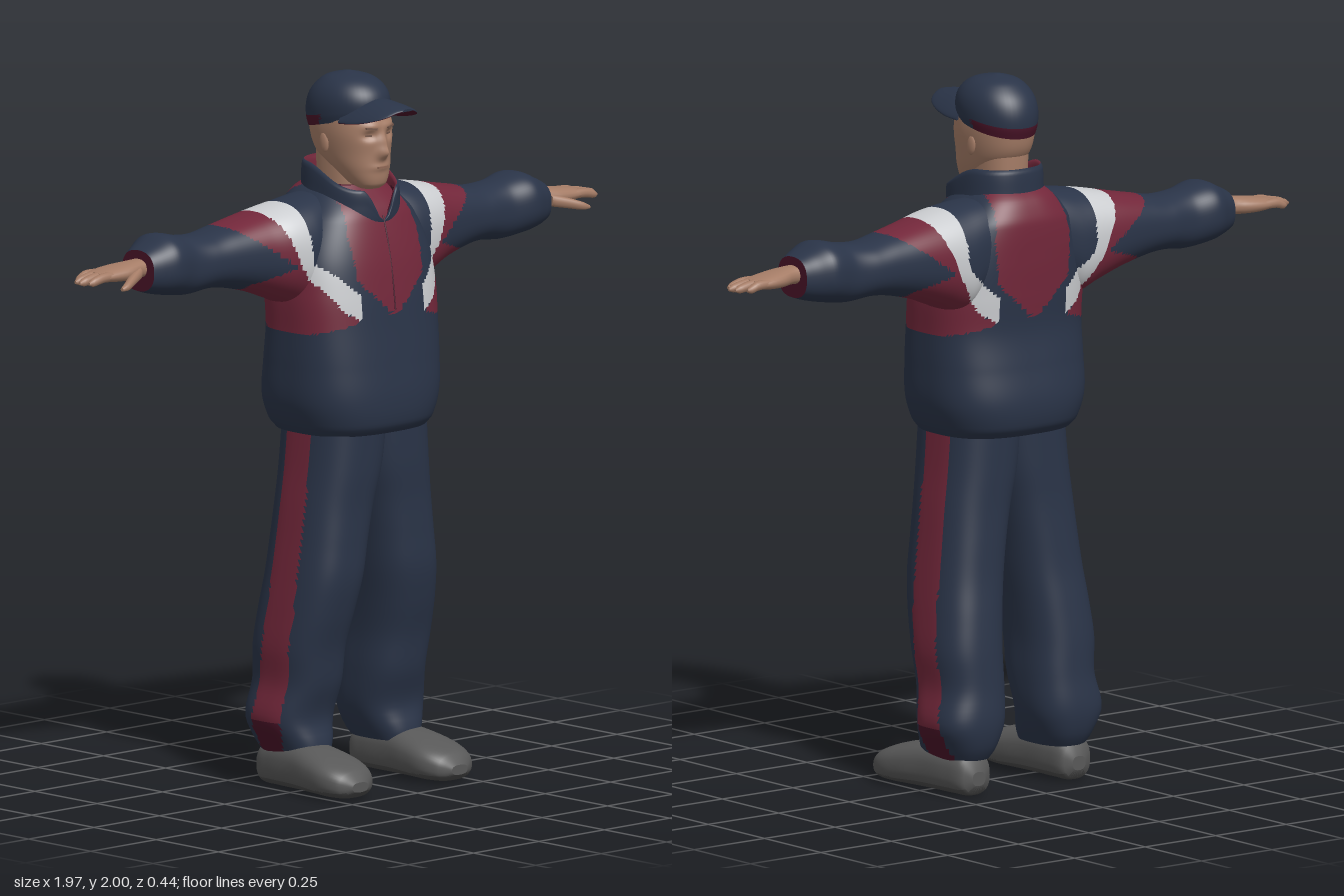
import * as THREE from 'three';

const mat = (name, color) => Object.assign(new THREE.MeshStandardMaterial({ color }), { name });
const MATS = [
  mat('navy cloth', 0x2a3448), mat('maroon cloth', 0x72273a), mat('white cloth', 0xcbcdd0),
  mat('skin', 0xa67d67), mat('shoe grey', 0x585858), mat('sole grey', 0x4a4a4a),
  mat('brow brown', 0x74574a), mat('lip', 0x8f6755), mat('dark maroon lining', 0x4a1428),
];
const [NAVY, MAROON, WHITE, SKIN, SHOE, SOLE, BROW, LIP, LINING] = MATS.keys();

// Smooth interpolation of rows [t, u0, u1, v0, v1]
function sample(rows, t) {
  let i = 0;
  while (i < rows.length - 2 && t > rows[i + 1][0]) i++;
  const a = rows[i], b = rows[i + 1], h = b[0] - a[0], s = (t - a[0]) / h;
  const slope = (k, c) => {
    const p = rows[Math.max(k - 1, 0)], q = rows[Math.min(k + 1, rows.length - 1)];
    return (q[c] - p[c]) / (q[0] - p[0]);
  };
  return [1, 2, 3, 4].map((c) => {
    const s2 = s * s, s3 = s2 * s;
    return a[c] * (2 * s3 - 3 * s2 + 1) + b[c] * (3 * s2 - 2 * s3)
      + h * (slope(i, c) * (s3 - 2 * s2 + s) + slope(i + 1, c) * (s3 - s2));
  });
}

// Axis maps from section space (u, t, v)
const alongX = (u, t, v) => [t, v, u];
const alongY = (u, t, v) => [u, t, v];
const alongZ = (u, t, v) => [v, u, t];

// Skin closed superellipse rings; paint(x, y, z, t, angle) chooses a material for each face,
// and capPaint one for the two end faces
function loft(rows, { n = 32, steps = 24, map = alongY, power = 2.4, caps = true, paint = () => NAVY, capPaint = paint }) {
  const pos = [], lists = MATS.map(() => []), params = [];
  const t0 = rows[0][0], t1 = rows[rows.length - 1][0];
  const add = (u, t, v, ang) => { pos.push(...map(u, t, v)); params.push([t, ang]); return params.length - 1; };
  const pw = (c) => Math.sign(c) * Math.abs(c) ** (2 / power);
  const ring = (t) => {
    const [u0, u1, v0, v1] = sample(rows, t);
    for (let j = 0; j < n; j++) {
      const a = (j / n) * Math.PI * 2;
      add((u0 + u1) / 2 + pw(Math.cos(a)) * (u1 - u0) / 2, t, (v0 + v1) / 2 + pw(Math.sin(a)) * (v1 - v0) / 2, a);
    }
    return [(u0 + u1) / 2, (v0 + v1) / 2];
  };
  const face = (a, b, c, choose) => {
    const m = [0, 1, 2].map((k) => (pos[a * 3 + k] + pos[b * 3 + k] + pos[c * 3 + k]) / 3);
    lists[choose(...m, (params[a][0] + params[b][0] + params[c][0]) / 3, params[a][1])].push(a, b, c);
  };
  for (let i = 0; i <= steps; i++) ring(t0 + (t1 - t0) * i / steps);
  for (let i = 0; i < steps; i++) for (let j = 0; j < n; j++) {
    const a = i * n + j, c = i * n + (j + 1) % n;
    face(a, a + n, c, paint);
    face(a + n, c + n, c, paint);
  }
  if (caps) [t0, t1].forEach((t, top) => {
    const base = params.length, [u, v] = ring(t), mid = add(u, t, v, 0);
    for (let j = 0; j < n; j++) {
      const a = base + j, b = base + (j + 1) % n;
      top ? face(mid, b, a, capPaint) : face(mid, a, b, capPaint);
    }
  });
  const g = new THREE.BufferGeometry();
  g.setAttribute('position', new THREE.Float32BufferAttribute(pos, 3));
  g.setIndex(lists.flat());
  let start = 0;
  lists.forEach((l, k) => { if (l.length) g.addGroup(start, l.length, k); start += l.length; });
  g.computeVertexNormals();
  return g;
}

function mirrored(geo) {
  const g = geo.clone().scale(-1, 1, 1), ix = g.index.array;
  for (let i = 0; i < ix.length; i += 3) [ix[i + 1], ix[i + 2]] = [ix[i + 2], ix[i + 1]];
  g.computeVertexNormals();
  return g;
}

function inside(poly, x, y) {
  let hit = false;
  poly.forEach(([ax, ay], i) => {
    const [bx, by] = poly[(i + 1) % poly.length];
    if ((ay > y) !== (by > y) && x < (bx - ax) * (y - ay) / (by - ay) + ax) hit = !hit;
  });
  return hit;
}

// Jacket colour blocks, the same for front and back
const CHEST = [[-1e-3, 1.33], [0.122, 1.44], [0.132, 1.56], [0.1, 1.72], [-1e-3, 1.72]];
const BAND = [[0.35, 1.7], [0.235, 1.7], [0.225, 1.5], [0.115, 1.4], [0.115, 1.33], [0.17, 1.36], [0.255, 1.48]];
const SIDE = [[0.35, 1.7], [0.48, 1.7], [0.46, 1.62], [0.27, 1.49], [0.4, 1.45], [0.4, 1.3], [0.25, 1.295], [0.12, 1.33], [0.17, 1.36], [0.255, 1.48]];
const jacketPaint = (x, y) => {
  const a = Math.abs(x);
  if (inside(CHEST, a, y)) return MAROON;
  if (inside(BAND, a, y)) return WHITE;
  return inside(SIDE, a, y) ? MAROON : NAVY;
};

const bump = (x, y, cx, cy, rx, ry) => Math.exp(-(((x - cx) / rx) ** 2) - ((y - cy) / ry) ** 2);

export function createModel() {
  const model = new THREE.Group();
  const add = (name, geo, m = MATS) => {
    const mesh = new THREE.Mesh(geo, m);
    mesh.name = name;
    model.add(mesh);
  };
  const pair = (name, geo, m = MATS) => {
    add('left' + name, geo, m);
    add('right' + name, mirrored(geo), m);
  };
  const skin = () => SKIN, lining = () => LINING;

  // Jacket body
  const sym = (rows) => rows.map(([t, w, a, b]) => [t, -w, w, a, b]);
  add('jacketBody', loft(sym([
    [1.005, 0.205, -0.19, 0.155], [1.03, 0.222, -0.212, 0.174], [1.1, 0.245, -0.222, 0.182], [1.2, 0.25, -0.208, 0.175],
    [1.3, 0.25, -0.195, 0.165], [1.4, 0.25, -0.2, 0.155], [1.5, 0.235, -0.205, 0.14], [1.6, 0.19, -0.205, 0.113],
    [1.635, 0.16, -0.195, 0.095], [1.67, 0.125, -0.175, 0.06], [1.69, 0.1, -0.15, 0.04]]),
  { n: 120, steps: 80, power: 2.7, paint: jacketPaint, capPaint: lining }));

  // Sleeves with gathered cuffs, open at the wrist
  pair('Sleeve', loft([
    [0.08, -0.175, 0.03, 1.42, 1.672], [0.15, -0.185, 0.055, 1.39, 1.666], [0.2, -0.192, 0.068, 1.36, 1.659],
    [0.27, -0.192, 0.062, 1.385, 1.648], [0.35, -0.188, 0.04, 1.415, 1.632], [0.45, -0.18, 0.02, 1.44, 1.612],
    [0.52, -0.175, 0.01, 1.447, 1.6], [0.6, -0.166, 0.004, 1.44, 1.605], [0.68, -0.178, 0.02, 1.45, 1.62],
    [0.73, -0.155, 0.005, 1.46, 1.6], [0.76, -0.138, -0.01, 1.47, 1.585]],
  { n: 64, steps: 90, map: alongX, paint: jacketPaint, capPaint: lining }));

  // Stand collar: outside up, lining back down, lower at the front with an open notch
  const collarMap = (u, t, v) => {
    const k = t < 1 ? t : 2 - t, front = THREE.MathUtils.smoothstep(v, -0.08, 0.1);
    const notch = v > 0 ? 1 - THREE.MathUtils.smoothstep(Math.abs(u), 0, 0.065) : 0;
    return [u, 1.59 + k * (0.16 - front * (0.065 + 0.09 * notch)), v];
  };
  const collarPaint = (x, y, z, t) => (t < 1 ? NAVY : y > 1.67 ? MAROON : LINING);
  add('collar', loft(sym([[0, 0.13, -0.168, 0.115], [0.5, 0.122, -0.16, 0.117], [0.95, 0.118, -0.156, 0.116],
    [1.05, 0.108, -0.146, 0.106], [1.5, 0.104, -0.14, 0.1], [2, 0.1, -0.135, 0.09]]),
  { n: 64, steps: 40, map: collarMap, caps: false, paint: collarPaint }));

  // Zip
  const zipPath = new THREE.CatmullRomCurve3([[1.61, 0.111], [1.55, 0.128], [1.45, 0.148], [1.35, 0.161]]
    .map(([y, z]) => new THREE.Vector3(0, y, z)));
  add('zip', new THREE.TubeGeometry(zipPath, 12, 0.0025, 6), MATS[LINING]);

  // Trouser legs with a side stripe, darker where it tucks in at the hem
  const legPaint = (x, y, z) => {
    const mid = y > 0.5 ? -0.016 - (1 - y) * 0.03 : -0.031 - (0.5 - y) * 0.13;
    if (x < 0.17 || Math.abs(z - mid) > 0.052) return NAVY;
    return y < 0.19 ? LINING : MAROON;
  };
  pair('TrouserLeg', loft([
    [0.1, 0.1, 0.24, -0.165, 0.045], [0.13, 0.085, 0.255, -0.185, 0.045], [0.2, 0.062, 0.283, -0.2, 0.03],
    [0.3, 0.055, 0.264, -0.192, 0.058], [0.4, 0.055, 0.27, -0.186, 0.075], [0.5, 0.045, 0.262, -0.175, 0.102],
    [0.6, 0.03, 0.25, -0.162, 0.122], [0.7, 0.015, 0.237, -0.155, 0.125], [0.8, -0.005, 0.225, -0.15, 0.127],
    [0.9, -0.03, 0.212, -0.15, 0.135], [1.03, -0.05, 0.2, -0.15, 0.14]],
  { n: 72, steps: 50, power: 2.6, paint: legPaint, capPaint: lining }));

  // Shoes
  pair('Shoe', loft([
    [-0.173, 0.03, 0.07, 0.155, 0.2], [-0.16, 0.004, 0.11, 0.128, 0.228], [-0.1, 0, 0.13, 0.115, 0.245],
    [0, 0, 0.135, 0.108, 0.258], [0.08, 0, 0.122, 0.1, 0.272], [0.15, 0, 0.102, 0.1, 0.276],
    [0.2, 0.005, 0.078, 0.125, 0.255], [0.22, 0.022, 0.05, 0.16, 0.22]],
  { n: 40, steps: 40, map: alongZ, power: 2.5, paint: (x, y) => (y < 0.022 ? SOLE : SHOE) }));

  // Hands: palm, four close fingers and a thumb
  pair('Palm', loft([[0.73, -0.11, -0.04, 1.508, 1.562], [0.78, -0.11, -0.038, 1.51, 1.56], [0.82, -0.125, -0.03, 1.508, 1.556],
    [0.87, -0.132, -0.034, 1.51, 1.55], [0.92, -0.128, -0.04, 1.516, 1.542]], { n: 20, steps: 12, map: alongX, paint: skin }));
  [0.955, 0.98, 0.985, 0.97].forEach((tip, i) => {
    const z = -0.118 + i * 0.0225;
    const finger = (x, r, y) => [x, z - r, z + r, y - r, y + r];
    pair('Finger' + (i + 1), loft([finger(0.86, 0.012, 1.53), finger(0.92, 0.013, 1.53), finger(tip - 0.012, 0.011, 1.522),
      finger(tip, 0.004, 1.52)], { n: 10, steps: 10, map: alongX, paint: skin }));
  });
  pair('Thumb', loft([[0.785, -0.065, -0.03, 1.51, 1.545], [0.83, -0.04, -0.008, 1.502, 1.532], [0.87, -0.016, 0.008, 1.495, 1.518],
    [0.893, -0.005, 0.006, 1.496, 1.506]], { n: 12, steps: 12, map: alongX, paint: skin }));

  // Neck and head with nose, brow and eye sockets pushed out of the loft
  add('neck', loft(sym([[1.55, 0.075, -0.13, 0.05], [1.65, 0.068, -0.122, 0.04], [1.78, 0.07, -0.125, 0.04]]), { paint: skin }));
  const faceMap = (u, t, v) => {
    const x = Math.abs(u);
    const d = 0.024 * bump(x, t, 0, 1.785, 0.016, 0.018) + 0.014 * bump(x, t, 0, 1.815, 0.012, 0.025)
      + 0.006 * bump(x, t, 0.03, 1.862, 0.03, 0.012) - 0.012 * bump(x, t, 0.036, 1.835, 0.02, 0.013)
      + 0.005 * bump(x, t, 0, 1.745, 0.03, 0.01);
    return [u, t, v > 0 ? v + d * Math.min(1, v / 0.06) : v];
  };
  add('head', loft(sym([[1.682, 0.03, 0.03, 0.085], [1.695, 0.048, -0.005, 0.1], [1.735, 0.07, -0.07, 0.106], [1.78, 0.084, -0.125, 0.106],
    [1.84, 0.094, -0.145, 0.108], [1.91, 0.094, -0.148, 0.09]]),
  { n: 80, steps: 56, power: 2.3, map: faceMap, paint: skin }));
  const ear = new THREE.SphereGeometry(1, 12, 8).scale(0.007, 0.028, 0.017).rotateX(-0.15).translate(0.091, 1.808, -0.03);
  pair('Ear', ear, MATS[SKIN]);

  // Eyes, brows and mouth as thin plates
  const plate = (w, h, x, y, z, turn, tilt) =>
    new THREE.BoxGeometry(w, h, 0.006).rotateZ(tilt).rotateY(turn).translate(x, y, z);
  pair('Brow', plate(0.034, 0.005, 0.036, 1.856, 0.103, 0.35, 0.1), MATS[BROW]);
  pair('Eye', plate(0.018, 0.005, 0.036, 1.835, 0.0905, 0.35, 0), MATS[BROW]);
  add('mouth', plate(0.038, 0.005, 0, 1.745, 0.11, 0, 0), MATS[LIP]);

  // Cap crown, tilted down towards the back, with the lining showing at the rear
  const capMap = (u, t, v) => [u, t + (v + 0.03) * 0.22 * (2 - t) / 0.14, v];
  const capPaint = (x, y, z, t) => (t < 1.886 && z < -0.04 ? LINING : NAVY);
  add('capCrown', loft(sym([[1.86, 0.096, -0.15, 0.096], [1.885, 0.101, -0.158, 0.1], [1.92, 0.101, -0.157, 0.097],
    [1.95, 0.092, -0.143, 0.084], [1.975, 0.073, -0.115, 0.06], [1.99, 0.048, -0.085, 0.028], [2, 0.006, -0.036, -0.024]]),
  { n: 48, steps: 36, power: 2.1, map: capMap, paint: capPaint }));

  // Cap peak, curved down at the sides, lined underneath
  const peakMap = (u, t, v) => [v, u - 5.5 * v * v, t];
  add('capPeak', loft([[0.03, 1.908, 1.935, -0.096, 0.096], [0.09, 1.912, 1.937, -0.094, 0.094], [0.15, 1.915, 1.932, -0.08, 0.08],
    [0.19, 1.914, 1.926, -0.055, 0.055], [0.208, 1.915, 1.922, -0.018, 0.018]],
  { n: 48, steps: 24, map: peakMap, paint: (x, y, z, t, ang) => (Math.cos(ang) < -0.05 ? LINING : NAVY) }));

  return model;
}
